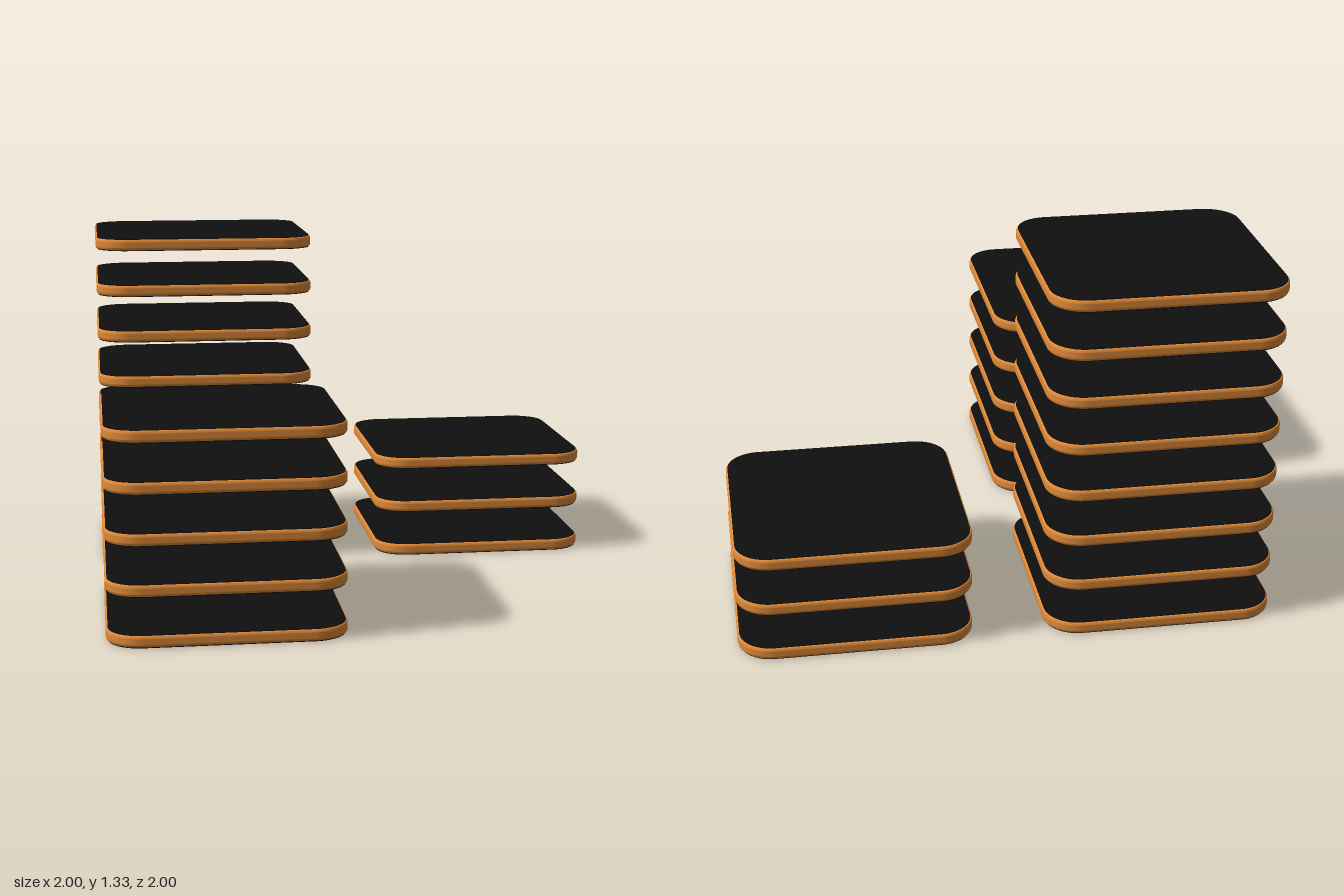
import * as THREE from 'three';
import { toCreasedNormals } from 'three/addons/utils/BufferGeometryUtils.js';

const SIZE = 0.867, CORNER = 0.13, THICK = 0.048, STEP = 0.183, CAP = 0.003, INSET = 0.007;

// Rounded square outline centred on the origin
function roundedSquare(size, r) {
  const h = size / 2;
  const s = new THREE.Shape();
  s.moveTo(h, -h + r);
  s.absarc(h - r, h - r, r, 0, Math.PI / 2);
  s.absarc(-h + r, h - r, r, Math.PI / 2, Math.PI);
  s.absarc(-h + r, -h + r, r, Math.PI, Math.PI * 1.5);
  s.absarc(h - r, -h + r, r, Math.PI * 1.5, Math.PI * 2);
  return s;
}

// Horizontal slab, vertically centred, with optional rounded rim
function slab(height, bevel) {
  const bevelThickness = bevel ? 0.012 : 0;
  const geo = new THREE.ExtrudeGeometry(roundedSquare(SIZE - 2 * INSET, CORNER - INSET), {
    depth: height - 2 * bevelThickness,
    curveSegments: 10,
    bevelEnabled: bevel,
    bevelThickness,
    bevelSize: INSET,
    bevelSegments: 4,
  });
  geo.translate(0, 0, -height / 2 + bevelThickness);
  geo.rotateX(-Math.PI / 2);
  return toCreasedNormals(geo, 0.7);
}

export function createModel() {
  const model = new THREE.Group();
  model.name = 'stackedPlates';

  const orange = new THREE.MeshStandardMaterial({ color: 0xe08a38 });
  const black = new THREE.MeshStandardMaterial({ color: 0x0f0f0f });
  const rimGeo = slab(THICK - 2 * CAP, true);
  const capGeo = slab(CAP, false);

  // One plate: orange rim between two thin black faces
  function plate() {
    const g = new THREE.Group();
    g.name = 'plate';
    const rim = new THREE.Mesh(rimGeo, orange);
    rim.name = 'rim';
    g.add(rim);
    for (const side of [1, -1]) {
      const face = new THREE.Mesh(capGeo, black);
      face.name = side > 0 ? 'topFace' : 'bottomFace';
      face.position.y = side * (THICK - CAP) / 2;
      g.add(face);
    }
    return g;
  }

  // Three stacks of evenly spaced plates
  const c = 1 - SIZE / 2;
  const stacks = [
    ['tallStack', -c, -c, 8],
    ['mediumStack', -c, c, 5],
    ['shortStack', c, -c, 3],
  ];
  for (const [name, x, z, count] of stacks) {
    const stack = new THREE.Group();
    stack.name = name;
    stack.position.set(x, THICK / 2, z);
    for (let i = 0; i < count; i++) {
      const p = plate();
      p.position.y = i * STEP;
      stack.add(p);
    }
    model.add(stack);
  }
  return model;
}
